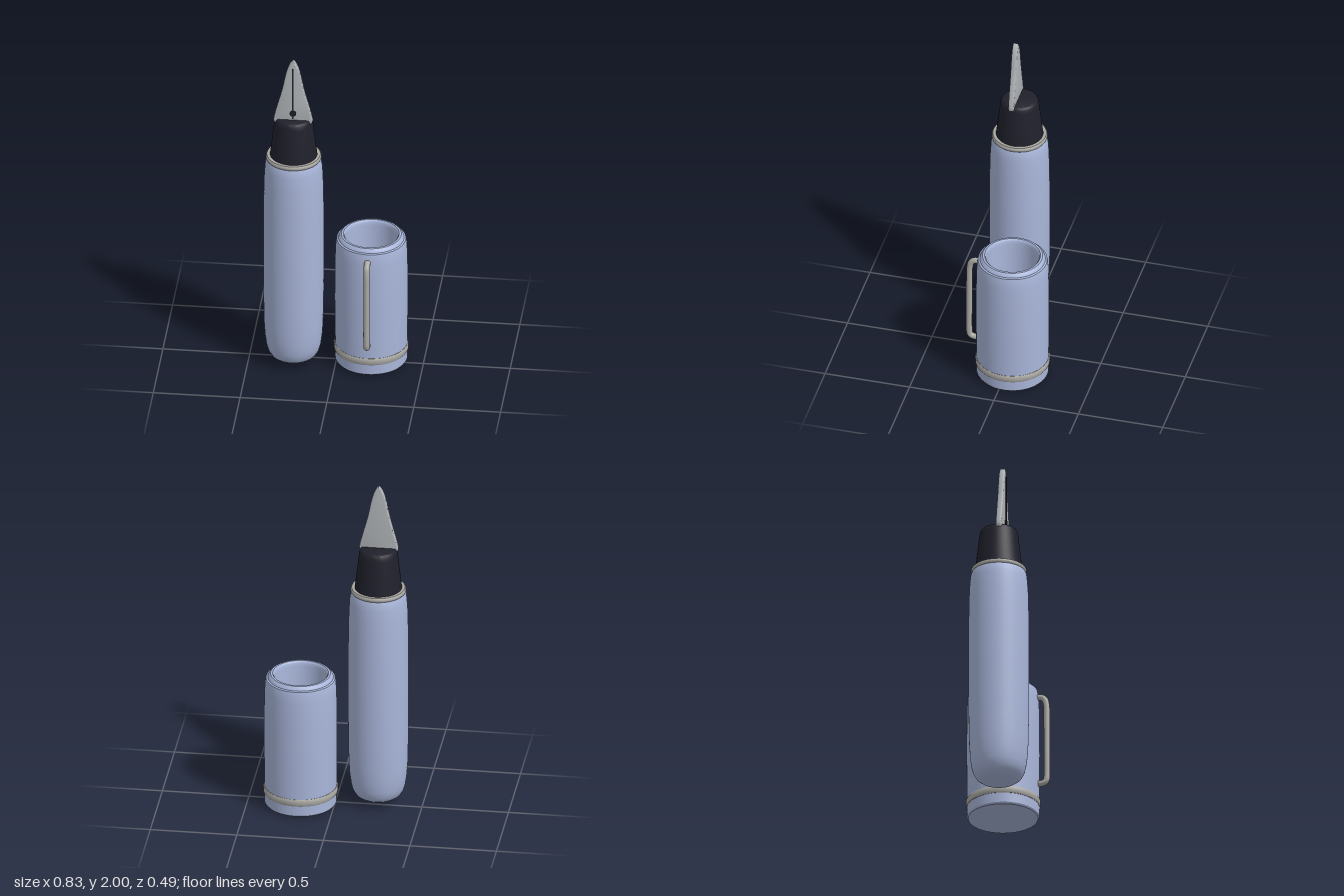
import * as THREE from 'three';
import { toCreasedNormals } from 'three/addons/utils/BufferGeometryUtils.js';

const mat = (name, color) => {
  const m = new THREE.MeshStandardMaterial({ color });
  m.name = name;
  return m;
};

export function createModel() {
  const blue = mat('periwinkle blue', 0xa9b6da);
  const trim = mat('warm silver', 0xaaa9a4);
  const steel = mat('nib steel', 0xb0b4b8);
  const dark = mat('dark ink', 0x20202c);

  const root = new THREE.Group();
  root.name = 'fountainPen';
  const group = (name, x, z) => {
    const g = new THREE.Group();
    g.name = name;
    g.position.set(x, 0, z);
    root.add(g);
    return g;
  };
  const add = (parent, name, geometry, material, x = 0, y = 0, z = 0) => {
    const m = new THREE.Mesh(geometry, material);
    m.name = name;
    m.position.set(x, y, z);
    parent.add(m);
    return m;
  };
  // Profiles run from the bottom axis outward and up
  const lathe = (points, crease = 0.6) =>
    toCreasedNormals(new THREE.LatheGeometry(points.map(([r, y]) => new THREE.Vector2(r, y)), 64), crease);

  // Pen standing on its rounded end
  const pen = group('pen', -0.242, 0.045);
  add(pen, 'barrel', lathe([
    [0, 0.03], [0.075, 0.032], [0.105, 0.04], [0.13, 0.058], [0.146, 0.085], [0.156, 0.12], [0.164, 0.18],
    [0.169, 0.26], [0.172, 0.4], [0.174, 0.65], [0.174, 0.9], [0.172, 1.1], [0.169, 1.22],
    [0.165, 1.29], [0.16, 1.33], [0.152, 1.35], [0, 1.352],
  ]), blue);
  add(pen, 'barrelRing', lathe([
    [0, 1.343], [0.153, 1.343], [0.159, 1.35], [0.159, 1.362], [0.153, 1.37], [0, 1.37],
  ], 0.9), trim);
  add(pen, 'grip', lathe([
    [0, 1.365], [0.136, 1.365], [0.128, 1.43], [0.111, 1.58], [0.107, 1.6], [0.1, 1.612], [0.092, 1.616], [0, 1.616],
  ], 0.7), dark);

  // Nib: flat bevelled leaf, slightly ahead of the pen axis
  const bevel = 0.008;
  const leaf = new THREE.Shape();
  leaf.moveTo(0, 1.588);
  leaf.lineTo(0.085, 1.592);
  leaf.quadraticCurveTo(0.106, 1.595, 0.105, 1.615);
  leaf.bezierCurveTo(0.09, 1.69, 0.068, 1.75, 0.051, 1.83);
  leaf.bezierCurveTo(0.036, 1.91, 0.026, 1.965, 0, 1.992);
  leaf.bezierCurveTo(-0.026, 1.965, -0.036, 1.91, -0.051, 1.83);
  leaf.bezierCurveTo(-0.068, 1.75, -0.09, 1.69, -0.105, 1.615);
  leaf.quadraticCurveTo(-0.106, 1.595, -0.085, 1.592);
  leaf.closePath();
  const nib = new THREE.ExtrudeGeometry(leaf, {
    depth: 0.016, bevelThickness: 0.009, bevelSize: bevel, bevelSegments: 3, curveSegments: 16,
  });
  add(pen, 'nib', toCreasedNormals(nib, 0.7), steel, 0, 0, 0.015);
  add(pen, 'nibSlit', new THREE.BoxGeometry(0.007, 0.325, 0.008), dark, 0, 1.79, 0.043);
  add(pen, 'breatherHole', new THREE.CylinderGeometry(0.018, 0.018, 0.008, 24).rotateX(Math.PI / 2),
    dark, 0, 1.66, 0.044);

  // Hollow cap with its open end up
  const cap = group('cap', 0.197, -0.03);
  add(cap, 'capShell', lathe([
    [0, 0], [0.165, 0.002], [0.2, 0.005], [0.207, 0.015], [0.208, 0.2], [0.21, 0.4], [0.209, 0.62],
    [0.206, 0.73], [0.203, 0.775], [0.198, 0.798], [0.188, 0.802], [0.184, 0.812], [0.172, 0.824],
    [0.16, 0.825], [0.152, 0.815], [0.15, 0.79], [0.15, 0.1], [0, 0.1],
  ]), blue);
  add(cap, 'capBand', lathe([
    [0.2, 0.073], [0.209, 0.073], [0.214, 0.081], [0.214, 0.108], [0.209, 0.116], [0.2, 0.116],
  ], 0.9), trim);
  add(cap, 'capFloor', new THREE.CylinderGeometry(0.151, 0.151, 0.008, 48), steel, 0, 0.112);
  add(cap, 'floorDot', new THREE.CylinderGeometry(0.012, 0.016, 0.006, 20), blue, 0, 0.118);

  // Clip: bent rod with both ends sunk into the cap
  const path = new THREE.CatmullRomCurve3([
    [0.19, 0.747], [0.225, 0.745], [0.244, 0.73], [0.254, 0.69], [0.256, 0.6], [0.257, 0.4],
    [0.257, 0.26], [0.252, 0.218], [0.235, 0.205], [0.19, 0.203],
  ].map(([z, y]) => new THREE.Vector3(0, y, z)), false, 'centripetal');
  add(cap, 'clip', new THREE.TubeGeometry(path, 80, 0.018, 16), trim);

  return root;
}
